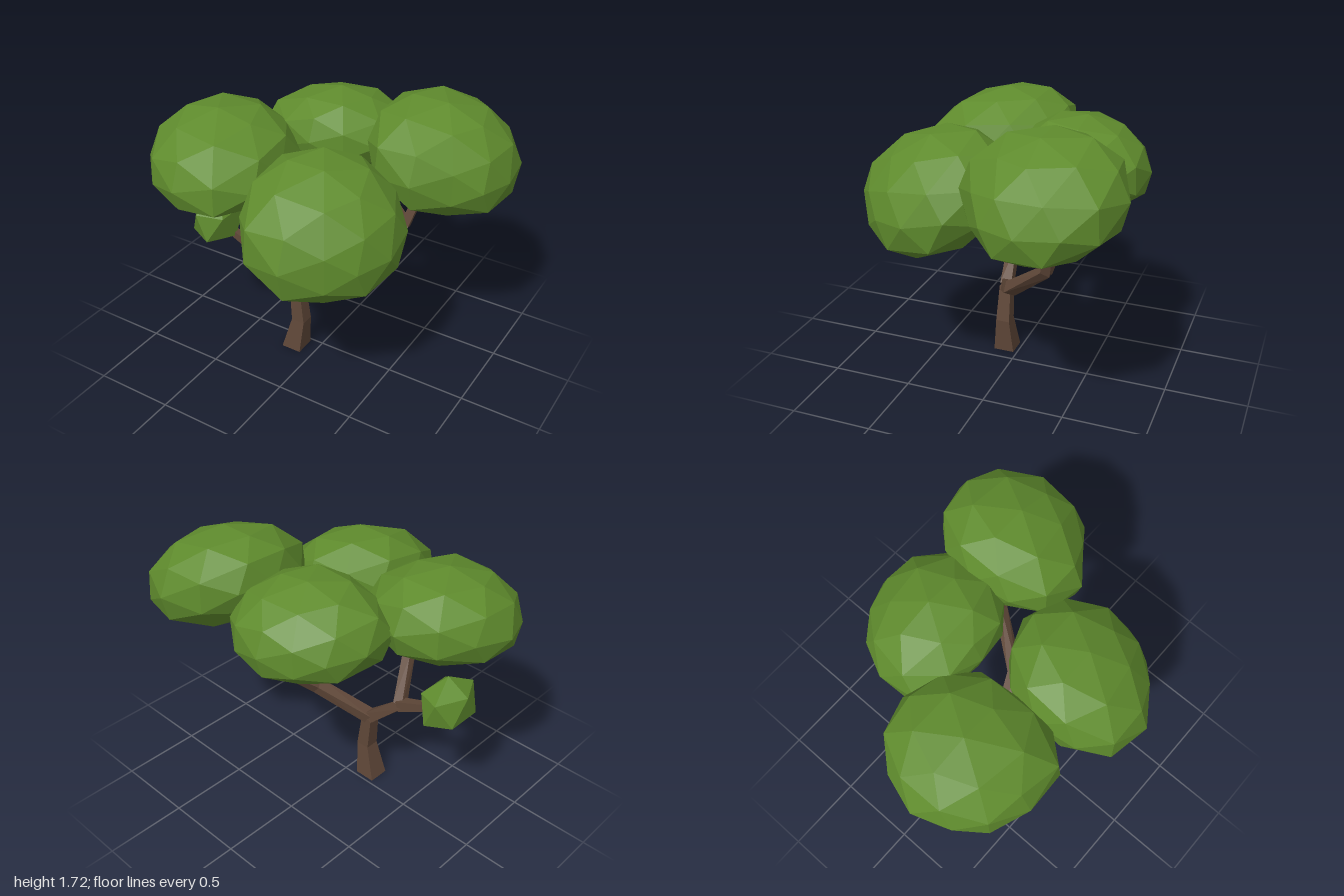
import * as THREE from 'three';

const bark = new THREE.MeshStandardMaterial({ color: 0x5f4738 });
bark.name = 'bark brown';
const leaf = new THREE.MeshStandardMaterial({ color: 0x5f8b2d });
leaf.name = 'leaf green';

// Square limb swept through joints [x, y, z, half width]
function limb(name, joints) {
  const pts = joints.map(j => new THREE.Vector3(j[0], j[1], j[2]));
  const pos = [], idx = [], last = pts.length - 1;
  pts.forEach((p, i) => {
    const t = new THREE.Vector3();
    if (p.y === 0) t.set(0, 1, 0); // flat on the ground
    else {
      if (i > 0) t.add(p.clone().sub(pts[i - 1]).normalize());
      if (i < last) t.add(pts[i + 1].clone().sub(p).normalize());
      t.normalize();
    }
    const u = new THREE.Vector3().crossVectors(t, new THREE.Vector3(0, 0, 1)).normalize();
    const w = new THREE.Vector3().crossVectors(t, u);
    for (const [a, b] of [[1, 1], [-1, 1], [-1, -1], [1, -1]]) {
      const c = p.clone().addScaledVector(u, a * joints[i][3]).addScaledVector(w, b * joints[i][3]);
      pos.push(c.x, c.y, c.z);
    }
  });
  for (let i = 0; i < last; i++) {
    for (let j = 0; j < 4; j++) {
      const a = i * 4 + j, b = i * 4 + (j + 1) % 4;
      idx.push(a, b, b + 4, a, b + 4, a + 4);
    }
  }
  const e = last * 4;
  idx.push(0, 2, 1, 0, 3, 2, e, e + 1, e + 2, e, e + 2, e + 3);
  let geo = new THREE.BufferGeometry();
  geo.setAttribute('position', new THREE.Float32BufferAttribute(pos, 3));
  geo.setIndex(idx);
  geo = geo.toNonIndexed(); // faceted shading
  geo.computeVertexNormals();
  const mesh = new THREE.Mesh(geo, bark);
  mesh.name = name;
  return mesh;
}

// Faceted leaf mass: twelve plan radii (from +x towards +z), height up and down, tilt along x and z
function crown({ name, at, plan, up, down, tilt }) {
  const geo = new THREE.IcosahedronGeometry(1.02, 1);
  const p = geo.attributes.position;
  for (let i = 0; i < p.count; i++) {
    const x = p.getX(i), y = p.getY(i), z = p.getZ(i);
    const k = (Math.atan2(z, x) / (Math.PI / 6) + 12) % 12;
    const n = Math.floor(k + 1e-6), f = Math.max(0, k - n);
    const r = plan[n % 12] * (1 - f) + plan[(n + 1) % 12] * f;
    // round on top, squarer on the underside
    const q = y > 0 ? 2 : 2.7;
    const s = 1.02 / Math.pow(Math.pow(Math.hypot(x, z), q) + Math.pow(Math.abs(y), q), 1 / q);
    const h = (y > 0 ? up : down) * y;
    p.setXYZ(i, x * r * s, (h + (x * tilt[0] + z * tilt[1]) * r) * s, z * r * s);
  }
  geo.computeVertexNormals();
  const mesh = new THREE.Mesh(geo, leaf);
  mesh.name = name;
  mesh.position.set(...at);
  return mesh;
}

export function createModel() {
  const tree = new THREE.Group();
  tree.name = 'tree';

  // Trunk and limbs
  const fork = [-0.13, 0.46, 0.085, 0.037];
  const leftJoint = [0.385, 0.87, -0.35, 0.029];
  const rightJoint = [-0.34, 0.645, 0.12, 0.034];
  const upperJoint = [-0.255, 0.905, 0.29, 0.028];
  tree.add(
    limb('trunk', [[-0.145, 0, 0.09, 0.066], [-0.103, 0.23, 0.09, 0.044], fork]),
    limb('leftBranch', [fork, [0.19, 0.615, -0.06, 0.036], leftJoint, [0.51, 1.25, -0.43, 0.02]]),
    limb('leftBackTwig', [leftJoint, [0.18, 1.07, -0.4, 0.019]]),
    limb('rightBranch', [fork, rightJoint, upperJoint, [-0.45, 1.18, 0.18, 0.019]]),
    limb('rightFrontTwig', [upperJoint, [0.03, 1.025, 0.36, 0.019]]),
    limb('tuftTwig', [rightJoint, [-0.64, 0.775, 0.13, 0.019]])
  );

  // Main leaf masses
  const crowns = [
    { name: 'rightCrown', at: [-0.56, 1.36, 0.23], up: 0.285, down: 0.225, tilt: [-0.03, -0.11],
      plan: [0.42, 0.48, 0.52, 0.45, 0.43, 0.41, 0.43, 0.42, 0.45, 0.45, 0.44, 0.46] },
    { name: 'backCrown', at: [-0.12, 1.385, -0.42], up: 0.26, down: 0.235, tilt: [0.03, 0.1],
      plan: [0.38, 0.42, 0.4, 0.37, 0.39, 0.47, 0.42, 0.38, 0.36, 0.38, 0.41, 0.44] },
    { name: 'leftCrown', at: [0.6, 1.415, -0.38], up: 0.3, down: 0.275, tilt: [-0.22, -0.05],
      plan: [0.4, 0.39, 0.37, 0.45, 0.47, 0.44, 0.42, 0.44, 0.46, 0.47, 0.46, 0.44] },
    { name: 'frontCrown', at: [0.26, 1.225, 0.4], up: 0.32, down: 0.32, tilt: [-0.22, -0.17],
      plan: [0.41, 0.38, 0.38, 0.45, 0.48, 0.45, 0.43, 0.44, 0.44, 0.46, 0.46, 0.45] }
  ];
  crowns.forEach(c => tree.add(crown(c)));

  // Small leaf tuft with a point at top and bottom
  const tuftGeo = new THREE.IcosahedronGeometry(1, 0);
  tuftGeo.rotateZ(Math.atan(2 / (1 + Math.sqrt(5))) - 0.1);
  tuftGeo.scale(0.155, 0.183, 0.21);
  tuftGeo.computeVertexNormals();
  const tuft = new THREE.Mesh(tuftGeo, leaf);
  tuft.name = 'smallTuft';
  tuft.position.set(-0.685, 0.833, 0.14);
  tree.add(tuft);

  return tree;
}
